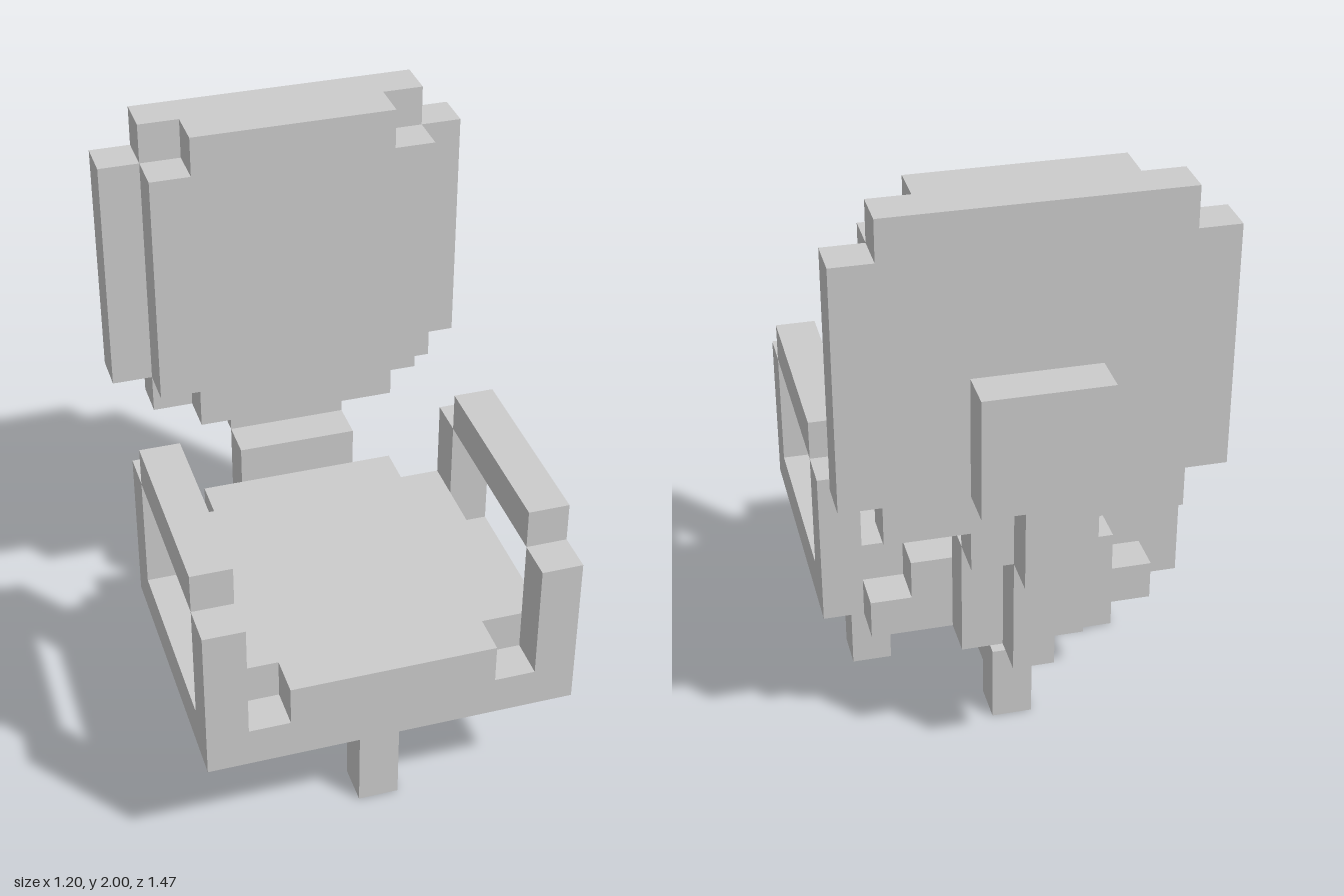
import * as THREE from 'three';

// The chair is laid out on a cubic grid, 15 cells tall.
const U = 2 / 15;
const material = new THREE.MeshStandardMaterial({ color: 0xcccccc, flatShading: true });

// Box given by its grid limits on each axis
function box(parent, name, [x0, x1], [y0, y1], [z0, z1]) {
  const mesh = new THREE.Mesh(new THREE.BoxGeometry(x1 - x0, y1 - y0, z1 - z0), material);
  mesh.position.set((x0 + x1) / 2, (y0 + y1) / 2, (z0 + z1) / 2);
  mesh.name = name;
  parent.add(mesh);
  return mesh;
}

// One-cell-thick plate, centred, w by h with square notches of size n cut from its corners
function notchedPlate(w, h, n) {
  const a = w / 2, b = h / 2;
  const outline = [
    [a - n, -b], [a - n, -b + n], [a, -b + n], [a, b - n], [a - n, b - n], [a - n, b],
    [n - a, b], [n - a, b - n], [-a, b - n], [-a, n - b], [n - a, n - b], [n - a, -b],
  ].map(([x, y]) => new THREE.Vector2(x, y));
  const geometry = new THREE.ExtrudeGeometry(new THREE.Shape(outline), { depth: 1, bevelEnabled: false });
  return geometry.translate(0, 0, -0.5);
}

function plate(parent, name, geometry, y, z) {
  const mesh = new THREE.Mesh(geometry, material);
  mesh.position.set(0, y, z);
  mesh.name = name;
  parent.add(mesh);
}

function subgroup(parent, name) {
  const group = new THREE.Group();
  group.name = name;
  parent.add(group);
  return group;
}

export function createModel() {
  const model = new THREE.Group();
  model.name = 'officeChair';
  model.scale.setScalar(U);

  // Cross-shaped base with four feet and a short central column
  const base = subgroup(model, 'base');
  base.position.z = 1;
  plate(base, 'crossBase', notchedPlate(7, 7, 3).rotateX(Math.PI / 2), 1.5, 0);
  for (const [x, z] of [[3, 0], [-3, 0], [0, 3], [0, -3]]) {
    box(base, 'foot', [x - 0.5, x + 0.5], [0, 1], [z - 0.5, z + 0.5]);
  }
  box(base, 'column', [-0.5, 0.5], [2, 3], [-0.5, 0.5]);

  // Seat: a broad pan with a narrower rear lip and a notched cushion on top
  const seat = subgroup(model, 'seat');
  box(seat, 'seatPan', [-4.5, 4.5], [3, 4], [-1.5, 5.5]);
  box(seat, 'seatPanRear', [-3.5, 3.5], [3, 4], [-2.5, -1.5]);
  plate(seat, 'seatCushion', notchedPlate(7, 8, 1).rotateX(Math.PI / 2), 4.5, 1.5);

  // Armrests: two posts and a raised pad on each side
  for (const [side, x] of [['left', 4], ['right', -4]]) {
    const arm = subgroup(model, side + 'Armrest');
    const span = [x - 0.5, x + 0.5];
    box(arm, 'frontPost', span, [4, 7], [4.5, 5.5]);
    box(arm, 'rearPost', span, [4, 7], [-1.5, -0.5]);
    box(arm, 'armPad', span, [7, 8], [-0.5, 4.5]);
  }

  // Bracket rising behind the seat and carrying the backrest
  const bracket = subgroup(model, 'backBracket');
  box(bracket, 'bracketFront', [-1.5, 1.5], [3, 6], [-3.5, -2.5]);
  box(bracket, 'bracketSpine', [-0.5, 0.5], [3, 6], [-4.5, -3.5]);
  box(bracket, 'bracketNeck', [-1.5, 1.5], [6, 7], [-4.5, -3.5]);
  box(bracket, 'rearSpine', [-0.5, 0.5], [6, 8], [-5.5, -4.5]);
  box(bracket, 'rearPlate', [-1.5, 1.5], [8, 11], [-5.5, -4.5]);

  // Backrest: wide shell behind a narrower cushion
  const backrest = subgroup(model, 'backrest');
  plate(backrest, 'backShell', notchedPlate(9, 8, 1), 11, -4);
  plate(backrest, 'backCushion', notchedPlate(7, 8, 1), 11, -3);

  return model;
}
